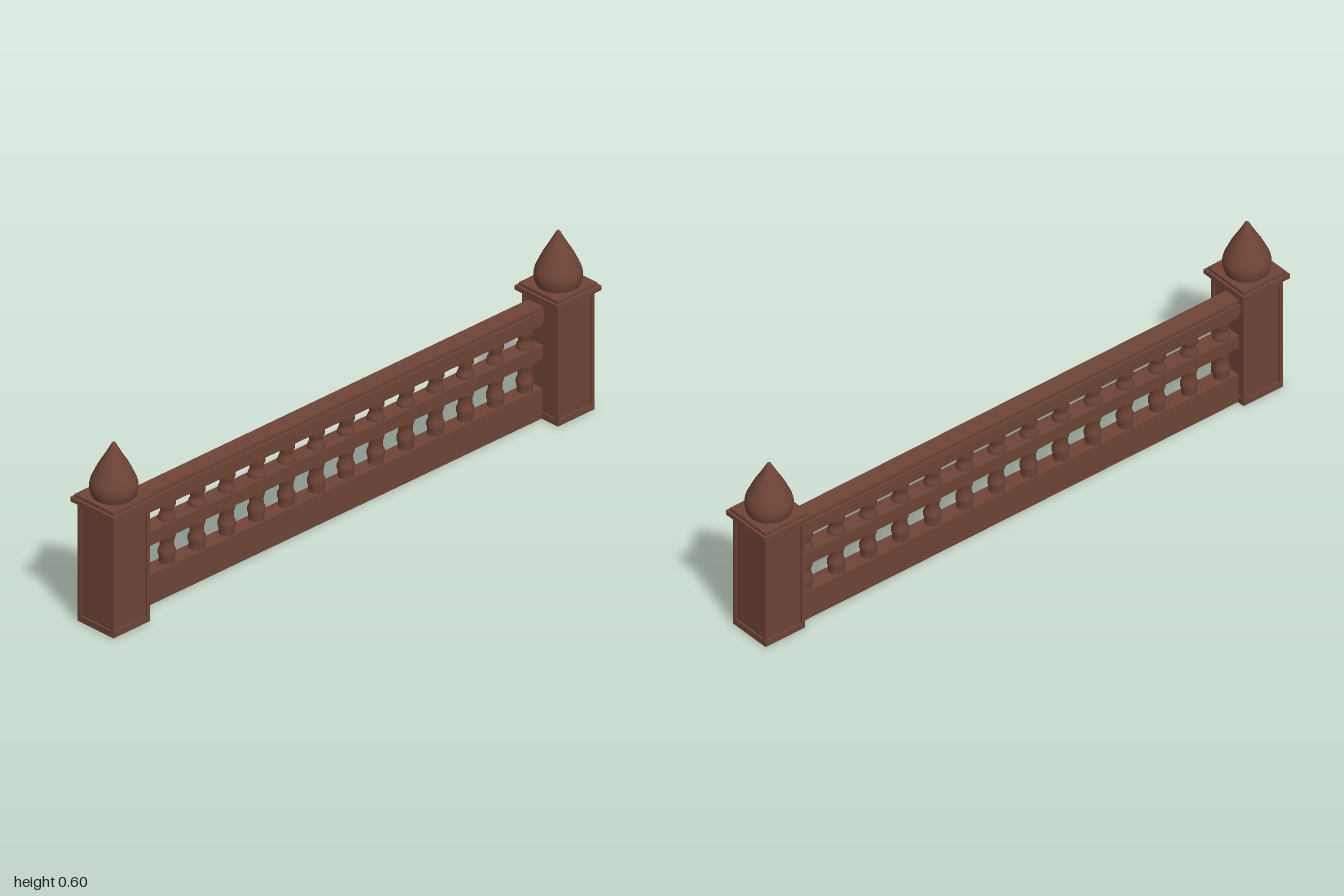
import * as THREE from 'three';

const wood = new THREE.MeshStandardMaterial({ color: 0x6e4436 });
wood.name = 'reddish brown wood';

const POST_X = 0.91;
const RAIL_Z = -0.021;

function add(parent, name, geometry, x = 0, y = 0, z = 0) {
  const mesh = new THREE.Mesh(geometry, wood);
  mesh.name = name;
  mesh.position.set(x, y, z);
  parent.add(mesh);
  return mesh;
}

// Box given by its bottom and top heights
function slab(parent, name, w, y0, y1, d, z = 0) {
  return add(parent, name, new THREE.BoxGeometry(w, y1 - y0, d), 0, (y0 + y1) / 2, z);
}

function lathe(points, segments) {
  return new THREE.LatheGeometry(points.map(([r, y]) => new THREE.Vector2(r, y)), segments);
}

// Raised border around a recessed post panel
function frameGeometry() {
  const rect = (P, x, y0, y1) => new P([
    new THREE.Vector2(-x, y0), new THREE.Vector2(x, y0),
    new THREE.Vector2(x, y1), new THREE.Vector2(-x, y1),
  ]);
  const shape = rect(THREE.Shape, 0.075, 0, 0.4);
  shape.holes.push(rect(THREE.Path, 0.063, 0.02, 0.38));
  return new THREE.ExtrudeGeometry(shape, { depth: 0.006, bevelEnabled: false });
}

function finialGeometry() {
  const curve = new THREE.SplineCurve([
    [0.066, 0.425], [0.071, 0.44], [0.0728, 0.46], [0.068, 0.48],
    [0.058, 0.502], [0.046, 0.527], [0.031, 0.552], [0.015, 0.58],
    [0.006, 0.597], [0, 0.602],
  ].map(([r, y]) => new THREE.Vector2(r, y)));
  const points = curve.getPoints(28);
  points.forEach((p) => { p.x = Math.max(p.x, 0); });
  return new THREE.LatheGeometry(points, 32);
}

function createPost(name, x) {
  const post = new THREE.Group();
  post.name = name;
  post.position.x = x;
  slab(post, 'postCore', 0.138, 0, 0.4, 0.138);
  const frame = frameGeometry();
  for (let i = 0; i < 4; i++) {
    const a = i * Math.PI / 2;
    add(post, 'panelFrame', frame, Math.sin(a) * 0.069, 0, Math.cos(a) * 0.069).rotation.y = a;
  }
  slab(post, 'capSlab', 0.18, 0.4, 0.415, 0.18);
  slab(post, 'capStep', 0.163, 0.415, 0.425, 0.163);
  add(post, 'finial', finialGeometry());
  return post;
}

export function createModel() {
  const model = new THREE.Group();
  model.name = 'balustrade';
  model.add(createPost('leftPost', POST_X), createPost('rightPost', -POST_X));

  // Rails spanning between the posts
  const span = 2 * (POST_X - 0.072);
  slab(model, 'bottomBoard', span, 0, 0.1, 0.056, RAIL_Z);
  slab(model, 'middleRail', span, 0.2, 0.245, 0.06, RAIL_Z);
  slab(model, 'topRailLower', span, 0.31, 0.328, 0.056, RAIL_Z);
  slab(model, 'topRailBody', span, 0.328, 0.362, 0.072, RAIL_Z);
  slab(model, 'topRailCrown', span, 0.362, 0.376, 0.06, RAIL_Z);

  // Turned balusters
  const balusters = new THREE.Group();
  balusters.name = 'balusters';
  const turned = lathe([
    [0.024, 0.095], [0.024, 0.118], [0.027, 0.126], [0.027, 0.14],
    [0.022, 0.15], [0.021, 0.17], [0.025, 0.183], [0.027, 0.192],
    [0.027, 0.25], [0.025, 0.258], [0.02, 0.268], [0.02, 0.28],
    [0.026, 0.29], [0.026, 0.315],
  ], 16);
  const count = 14;
  for (let i = 0; i < count; i++) {
    add(balusters, 'baluster', turned, (i - (count - 1) / 2) * 0.1222, 0, RAIL_Z);
  }
  model.add(balusters);
  return model;
}
